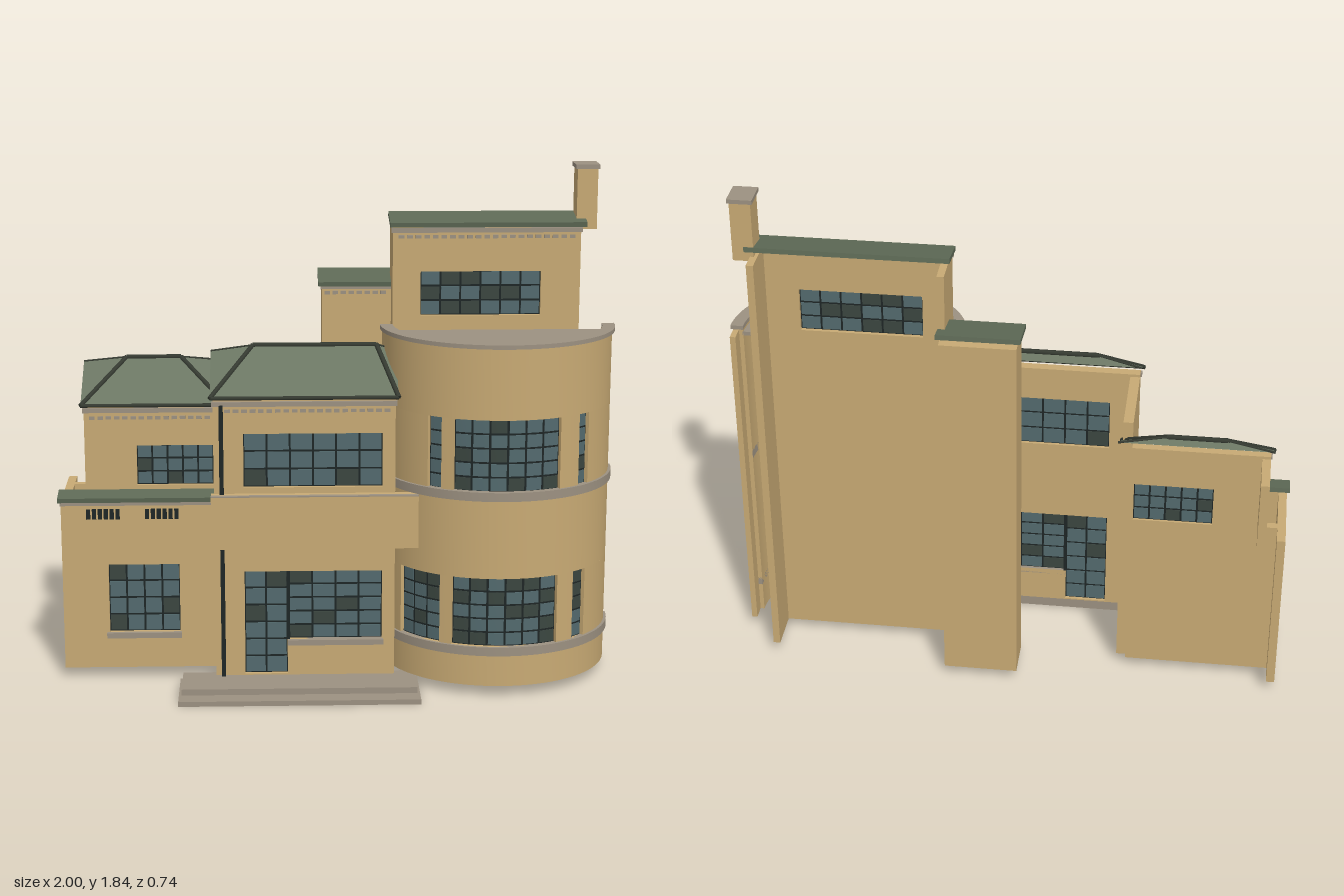
import * as THREE from 'three';
import { toCreasedNormals } from 'three/addons/utils/BufferGeometryUtils.js';

const mat = (name, color, side = THREE.FrontSide) => {
  const m = new THREE.MeshStandardMaterial({ color, side });
  m.name = name;
  return m;
};

export function createModel() {
  const root = new THREE.Group();
  root.name = 'house';
  const wallM = mat('sandWall', 0xc8aa74);
  const stoneM = mat('taupeStone', 0x9c9181);
  const tileM = mat('greenTile', 0x5e6a56);
  const roofM = mat('greenRoof', 0x6b7663, THREE.DoubleSide);
  const ridgeM = mat('darkRidge', 0x363b32);
  const frameM = mat('windowFrame', 0x1e2626);
  const glassM = mat('glass', 0x536a6e);
  const darkGlassM = mat('darkGlass', 0x3b4640);

  let seed = 7;
  const rnd = () => (seed = (seed * 16807) % 2147483647) / 2147483647;
  const paneMat = () => (rnd() < 0.28 ? darkGlassM : glassM);

  const add = (name, geo, m, parent = root) => {
    const mesh = new THREE.Mesh(geo, m);
    mesh.name = name;
    parent.add(mesh);
    return mesh;
  };
  // Box given by its limits
  const box = (name, m, x0, x1, y0, y1, z0, z1, parent) => {
    const mesh = add(name, new THREE.BoxGeometry(x1 - x0, y1 - y0, z1 - z0), m, parent);
    mesh.position.set((x0 + x1) / 2, (y0 + y1) / 2, (z0 + z1) / 2);
    return mesh;
  };
  const group = (name) => {
    const g = new THREE.Group();
    g.name = name;
    root.add(g);
    return g;
  };

  // Flat window: dark frame sheet with panes showing on both sides
  function flatWindow([x0, x1, y0, y1, cols, rows], z) {
    const g = group('window');
    box('frame', frameM, x0, x1, y0, y1, z - 0.004, z + 0.004, g);
    const w = (x1 - x0) / cols, h = (y1 - y0) / rows, b = 0.0035;
    for (let i = 0; i < cols; i++) for (let j = 0; j < rows; j++)
      box('pane', paneMat(), x0 + i * w + b, x0 + (i + 1) * w - b,
        y0 + j * h + b, y0 + (j + 1) * h - b, z - 0.006, z + 0.006, g);
  }
  // Wall with window openings; front face at z
  function wall(name, x0, x1, y0, y1, z, depth, windows) {
    const rect = (S, a, b, c, d) => {
      const s = new S();
      s.moveTo(a, c); s.lineTo(b, c); s.lineTo(b, d); s.lineTo(a, d); s.closePath();
      return s;
    };
    const shape = rect(THREE.Shape, x0, x1, y0, y1);
    for (const w of windows) {
      shape.holes.push(rect(THREE.Path, ...w));
      flatWindow(w, z - depth * 0.55);
    }
    const geo = new THREE.ExtrudeGeometry(shape, { depth, bevelEnabled: false });
    add(name, geo.translate(0, 0, z - depth), wallM);
  }
  // Sloping coping, low at the front
  function coping(name, x0, x1, yLow, yHigh, zBack, zFront) {
    const t = 0.017, d = zFront - zBack, rise = yHigh - yLow - t;
    const m = add(name, new THREE.BoxGeometry(x1 - x0, t, Math.hypot(d, rise)), tileM);
    m.position.set((x0 + x1) / 2, (yLow + yHigh) / 2, (zBack + zFront) / 2);
    m.rotation.x = Math.atan2(rise, d);
  }
  // Row of small eaves blocks
  function dentils(x0, x1, y, z) {
    const g = group('dentils'), n = Math.round((x1 - x0) / 0.03);
    for (let i = 0; i < n; i++) {
      const x = x0 + (i * (x1 - x0)) / n;
      box('dentil', stoneM, x, x + 0.02, y - 0.006, y + 0.006, z - 0.002, z + 0.005, g);
    }
  }
  // Open hipped roof sheet with ridge bars
  function hipRoof(x0, x1, r0, r1, yEave, yRidge, yBack, zFront, zRidge, zBack) {
    const A = [x0, yEave, zFront], B = [x1, yEave, zFront], C = [r1, yRidge, zRidge],
      D = [r0, yRidge, zRidge], E = [x0, yBack, zBack], F = [x1, yBack, zBack];
    const geo = new THREE.BufferGeometry();
    const pts = [A, B, C, A, C, D, A, D, E, B, F, C, D, C, F, D, F, E].flat();
    geo.setAttribute('position', new THREE.Float32BufferAttribute(pts, 3));
    geo.computeVertexNormals();
    add('hippedRoof', geo, roofM);
    for (const [p, q, r] of [[A, D, 0.009], [D, C, 0.009], [C, B, 0.009], [A, B, 0.007], [D, E, 0.004], [C, F, 0.004]]) {
      const a = new THREE.Vector3(...p), b = new THREE.Vector3(...q);
      const bar = add('ridgeBar', new THREE.CylinderGeometry(r, r, a.distanceTo(b), 6), ridgeM);
      bar.position.copy(a).add(b).multiplyScalar(0.5);
      bar.quaternion.setFromUnitVectors(new THREE.Vector3(0, 1, 0), b.sub(a).normalize());
    }
  }

  // Entrance steps
  box('lowerStep', stoneM, -0.57, 0.285, 0, 0.018, 0.135, 0.37);
  box('upperStep', stoneM, -0.56, 0.275, 0.018, 0.04, 0.135, 0.307);

  // Left wing
  wall('leftWingFront', -0.99, -0.44, 0.04, 0.665, 0.07, 0.035, [[-0.825, -0.57, 0.175, 0.43, 4, 4]]);
  box('leftSill', stoneM, -0.835, -0.565, 0.155, 0.175, 0.03, 0.085);
  box('leftOuterWall', wallM, -0.99, -0.96, 0.04, 0.665, -0.28, 0.035);
  box('leftWingMoulding', stoneM, -0.993, -0.44, 0.652, 0.665, 0.06, 0.077);
  coping('leftCoping', -1, -0.44, 0.665, 0.695, 0.01, 0.085);
  for (const x of [-0.9, -0.69]) for (let i = 0; i < 6; i++)
    box('ventSlot', frameM, x + i * 0.021, x + i * 0.021 + 0.015, 0.6, 0.638, 0.068, 0.073);

  // Set-back upper room
  wall('leftUpperFront', -0.92, -0.44, 0.04, 0.96, -0.17, 0.03, [[-0.73, -0.45, 0.66, 0.81, 5, 3]]);
  box('leftLowerBack', wallM, -0.96, -0.92, 0.04, 0.665, -0.2, -0.17);
  box('leftUpperFin', wallM, -0.92, -0.89, 0.68, 0.95, -0.37, -0.2);
  box('leftUpperCornice', stoneM, -0.925, -0.44, 0.935, 0.952, -0.175, -0.16);
  dentils(-0.9, -0.45, 0.915, -0.17);
  hipRoof(-0.93, -0.4, -0.77, -0.57, 0.963, 1.105, 1.085, -0.158, -0.342, -0.365);

  // Central block
  wall('centreFront', -0.44, 0.2, 0.04, 1.06, 0.165, 0.035, [
    [-0.335, -0.183, 0.045, 0.43, 2, 6],
    [-0.177, 0.155, 0.175, 0.43, 4, 5],
    [-0.335, 0.155, 0.74, 0.935, 6, 3],
  ]);
  box('doorMullion', frameM, -0.185, -0.175, 0.175, 0.43, 0.129, 0.167);
  box('centreSill', stoneM, -0.182, 0.16, 0.155, 0.175, 0.13, 0.18);
  box('centreSideWall', wallM, -0.44, -0.405, 0.04, 1.05, -0.18, 0.13);
  box('balconyBand', wallM, -0.45, 0.28, 0.527, 0.718, 0.16, 0.215);
  box('balconyCap', stoneM, -0.45, 0.28, 0.718, 0.722, 0.2, 0.218);
  box('downpipe', frameM, -0.42, -0.405, 0.04, 1.04, 0.163, 0.178);
  box('centreCornice', stoneM, -0.445, 0.205, 1.035, 1.052, 0.158, 0.176);
  dentils(-0.4, 0.19, 1.018, 0.165);
  hipRoof(-0.45, 0.21, -0.3, 0.14, 1.066, 1.215, 1.19, 0.178, -0.015, -0.04);

  // Stair block at the back
  box('stairBlock', wallM, -0.05, 0.215, 0.04, 1.4, -0.33, -0.185);
  box('stairCornice', stoneM, -0.055, 0.2, 1.385, 1.398, -0.19, -0.178);
  dentils(-0.04, 0.19, 1.372, -0.185);
  coping('stairCoping', -0.063, 0.225, 1.395, 1.438, -0.33, -0.172);

  // Tall block behind the bow
  wall('towerWall', 0.2, 0.87, 0.04, 1.625, -0.08, 0.04, [[0.3, 0.73, 1.305, 1.465, 6, 3]]);
  for (const x of [0.2, 0.845]) box('towerFin', wallM, x, x + 0.025, 0.04, 1.627, -0.27, -0.12);
  box('towerCornice', stoneM, 0.195, 0.875, 1.605, 1.622, -0.085, -0.073);
  dentils(0.22, 0.86, 1.59, -0.08);
  coping('towerCoping', 0.19, 0.89, 1.624, 1.663, -0.21, -0.07);
  box('chimney', wallM, 0.857, 0.93, 1.61, 1.825, -0.205, -0.113);
  box('chimneyCap', stoneM, 0.85, 0.936, 1.825, 1.84, -0.212, -0.107);

  // Bowed front: curved slab between two angles, grown outward by o and inward to i
  const CX = 0.575, CZ = -0.07, RX = 0.41, RZ = 0.375;
  function bow(name, m, t0, t1, y0, y1, o, i, parent) {
    const n = Math.max(2, Math.ceil(Math.abs(t1 - t0) / 0.07)), pts = [];
    const at = (t, d) => new THREE.Vector2(CX + (RX + d) * Math.cos(t), -CZ - (RZ + d) * Math.sin(t));
    for (let k = 0; k <= n; k++) pts.push(at(t0 + ((t1 - t0) * k) / n, o));
    if (i === null) pts.push(new THREE.Vector2(CX, -CZ));
    else for (let k = n; k >= 0; k--) pts.push(at(t0 + ((t1 - t0) * k) / n, i));
    const geo = new THREE.ExtrudeGeometry(new THREE.Shape(pts), { depth: y1 - y0, bevelEnabled: false, curveSegments: 1 });
    geo.rotateX(-Math.PI / 2).translate(0, y0, 0);
    add(name, toCreasedNormals(geo, 0.5), m, parent);
  }
  const angle = (x) => Math.acos((x - CX) / RX);
  const PI = Math.PI, T = -0.035;
  for (const [y0, y1] of [[0.04, 0.187], [0.438, 0.752], [1.01, 1.262]]) bow('bowWall', wallM, 0, PI, y0, y1, 0, T);
  const floors = [
    [0.187, 0.438, [[0.877, 0.83, 1], [0.77, 0.395, 6], [0.355, 0.225, 3]]],
    [0.752, 1.01, [[0.877, 0.84, 1], [0.77, 0.395, 6], [0.355, 0.31, 1]]],
  ];
  for (const [y0, y1, wins] of floors) {
    let t = 0;
    for (const [xa, xb, cols] of wins) {
      const a = angle(xa), b = angle(xb), rows = 5, h = (y1 - y0) / rows, w = (b - a) / cols;
      bow('bowPier', wallM, t, a, y0, y1, 0, T);
      t = b;
      const g = group('bowWindow');
      bow('frame', frameM, a, b, y0, y1, -0.014, -0.022, g);
      for (let c = 0; c < cols; c++) for (let r = 0; r < rows; r++)
        bow('pane', paneMat(), a + c * w + 0.01, a + (c + 1) * w - 0.01,
          y0 + r * h + 0.0035, y0 + (r + 1) * h - 0.0035, -0.012, -0.024, g);
    }
    bow('bowPier', wallM, t, PI, y0, y1, 0, T);
  }
  // Stone rings, terrace and end returns
  for (const [y0, y1] of [[0.155, 0.187], [0.722, 0.754], [1.262, 1.277]]) bow('stoneRing', stoneM, 0, PI, y0, y1, 0.01, T);
  bow('terrace', stoneM, 0, PI, 1.24, 1.255, -0.03, null);
  for (const x of [0.165, 0.965]) box('bowReturn', wallM, x, x + 0.02, 0.04, 1.262, -0.125, -0.07);

  return root;
}
